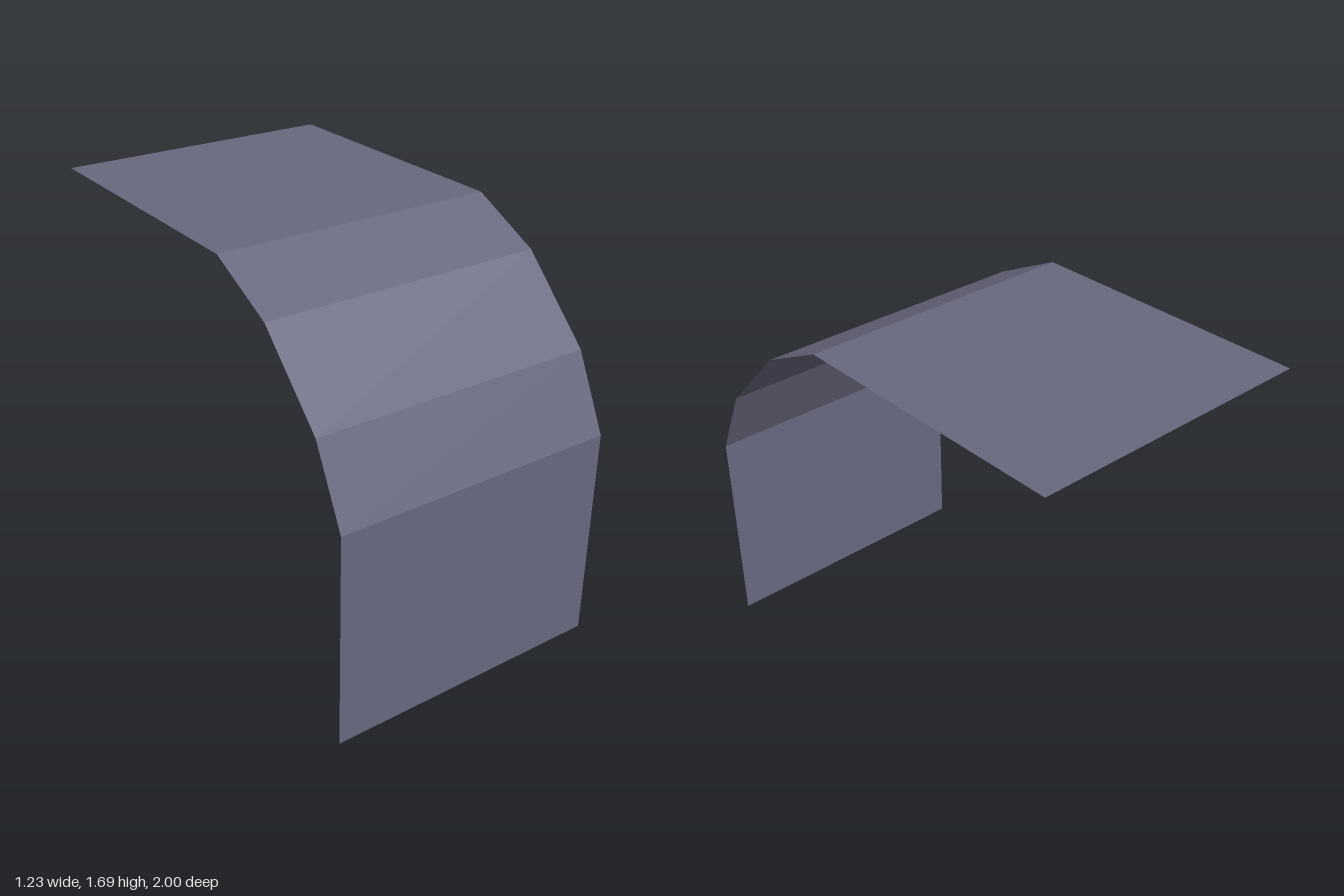
import * as THREE from 'three';

export function createModel() {
  const group = new THREE.Group();
  group.name = 'curvedCanopy';

  const slate = new THREE.MeshStandardMaterial({ color: 0x68687f, side: THREE.DoubleSide, flatShading: true });
  slate.name = 'slate';

  // Side profile as [z, y], from the back edge of the roof down to the foot of the wall
  const profile = [[-1, 1.69], [0.23, 1.69], [0.54, 1.54], [0.85, 1.23], [1, 0.92], [1, 0]];

  // Thin sheet: each row of a plane is moved onto one profile point
  const sheet = new THREE.PlaneGeometry(1.23, 1, 1, profile.length - 1);
  const position = sheet.attributes.position;
  profile.forEach(([z, y], row) => {
    for (let side = 0; side < 2; side++) {
      const i = row * 2 + side;
      position.setXYZ(i, position.getX(i), y, z);
    }
  });
  const geometry = sheet.toNonIndexed();
  geometry.computeVertexNormals();

  const mesh = new THREE.Mesh(geometry, slate);
  mesh.name = 'bentSheet';
  group.add(mesh);
  return group;
}
